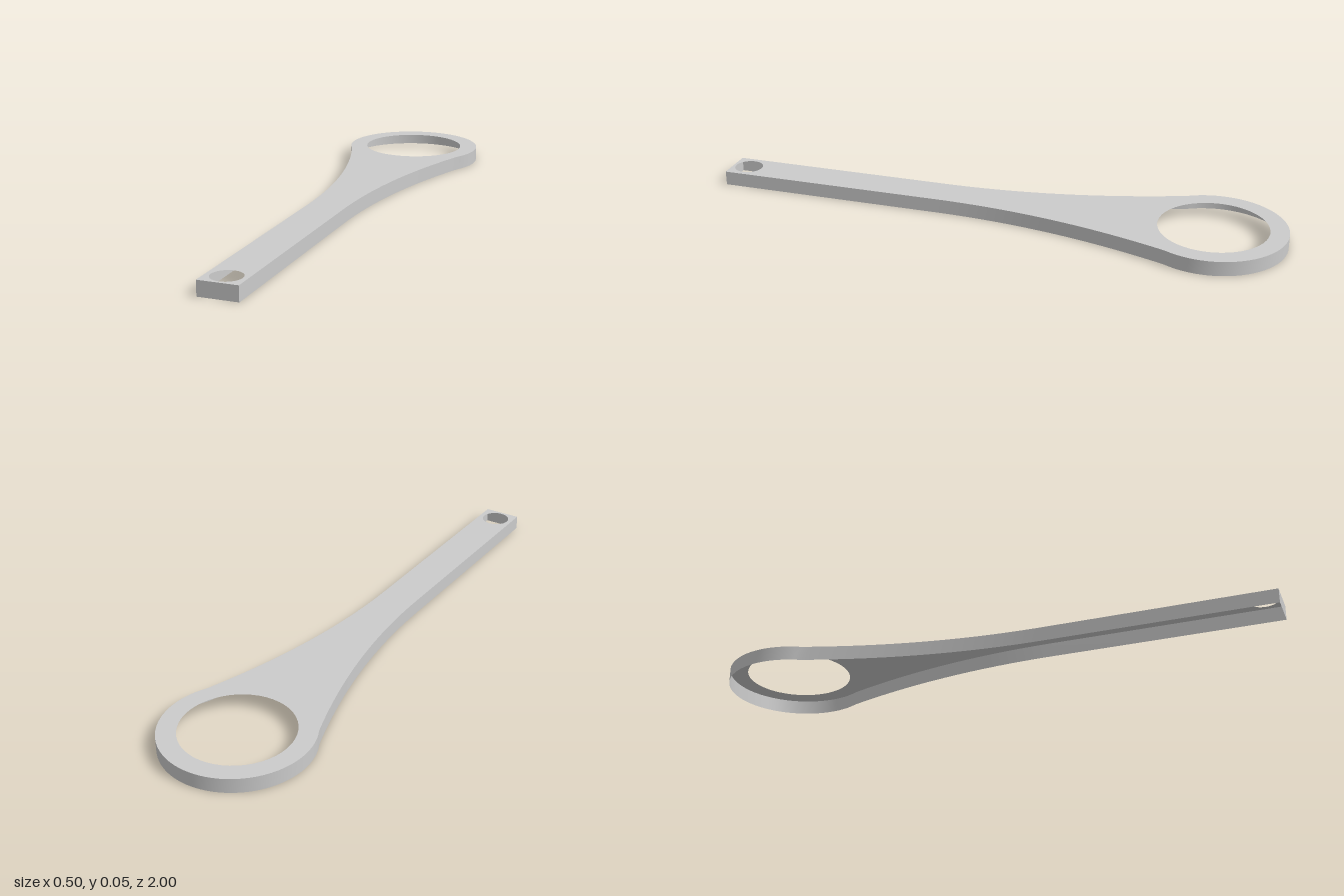
import * as THREE from 'three';
import { toCreasedNormals } from 'three/addons/utils/BufferGeometryUtils.js';

const HEIGHT = 0.05, HALF_WIDTH = 0.066, RING_Y = 0.752, RING_R = 0.248, JOIN = 0.52;

// Plan outline: straight handle, flaring neck, round head (shape y points to the back)
function makeOutline() {
  const jx = RING_R * Math.cos(JOIN), jy = RING_Y - RING_R * Math.sin(JOIN);
  const s = new THREE.Shape();
  s.moveTo(-HALF_WIDTH, -1);
  s.lineTo(HALF_WIDTH, -1);
  s.lineTo(HALF_WIDTH, -0.2);
  s.quadraticCurveTo(HALF_WIDTH, 0.215, jx, jy);
  s.absarc(0, RING_Y, RING_R, -JOIN, Math.PI + JOIN, false);
  s.quadraticCurveTo(-HALF_WIDTH, 0.215, -HALF_WIDTH, -0.2);
  s.closePath();
  return s;
}

// Thin wall hanging from the outline, open underneath
function makeSkirt(points) {
  const pos = [], index = [];
  points.forEach((p, i) => {
    pos.push(p.x, p.y, 0, p.x, p.y, HEIGHT);
    const a = 2 * i, b = 2 * ((i + 1) % points.length);
    index.push(a, b, b + 1, a, b + 1, a + 1);
  });
  const g = new THREE.BufferGeometry();
  g.setAttribute('position', new THREE.Float32BufferAttribute(pos, 3));
  g.setIndex(index);
  return toCreasedNormals(g, 0.6);
}

export function createModel() {
  const group = new THREE.Group();
  const material = new THREE.MeshStandardMaterial({ color: 0xcccccc, side: THREE.DoubleSide });
  const add = (name, geometry) => {
    const mesh = new THREE.Mesh(geometry.rotateX(-Math.PI / 2), material);
    mesh.name = name;
    group.add(mesh);
  };

  const outline = makeOutline();
  const points = outline.getPoints(24);
  if (points[0].distanceTo(points[points.length - 1]) < 1e-6) points.pop();
  add('sideWall', makeSkirt(points));

  // Top plate with the large head opening and the small hanging hole
  for (const [y, r] of [[RING_Y, 0.185], [-0.94, 0.05]]) {
    const hole = new THREE.Path();
    hole.absarc(0, y, r, 0, Math.PI * 2, true);
    outline.holes.push(hole);
  }
  add('topPlate', new THREE.ShapeGeometry(outline, 24).translate(0, 0, HEIGHT));
  return group;
}
